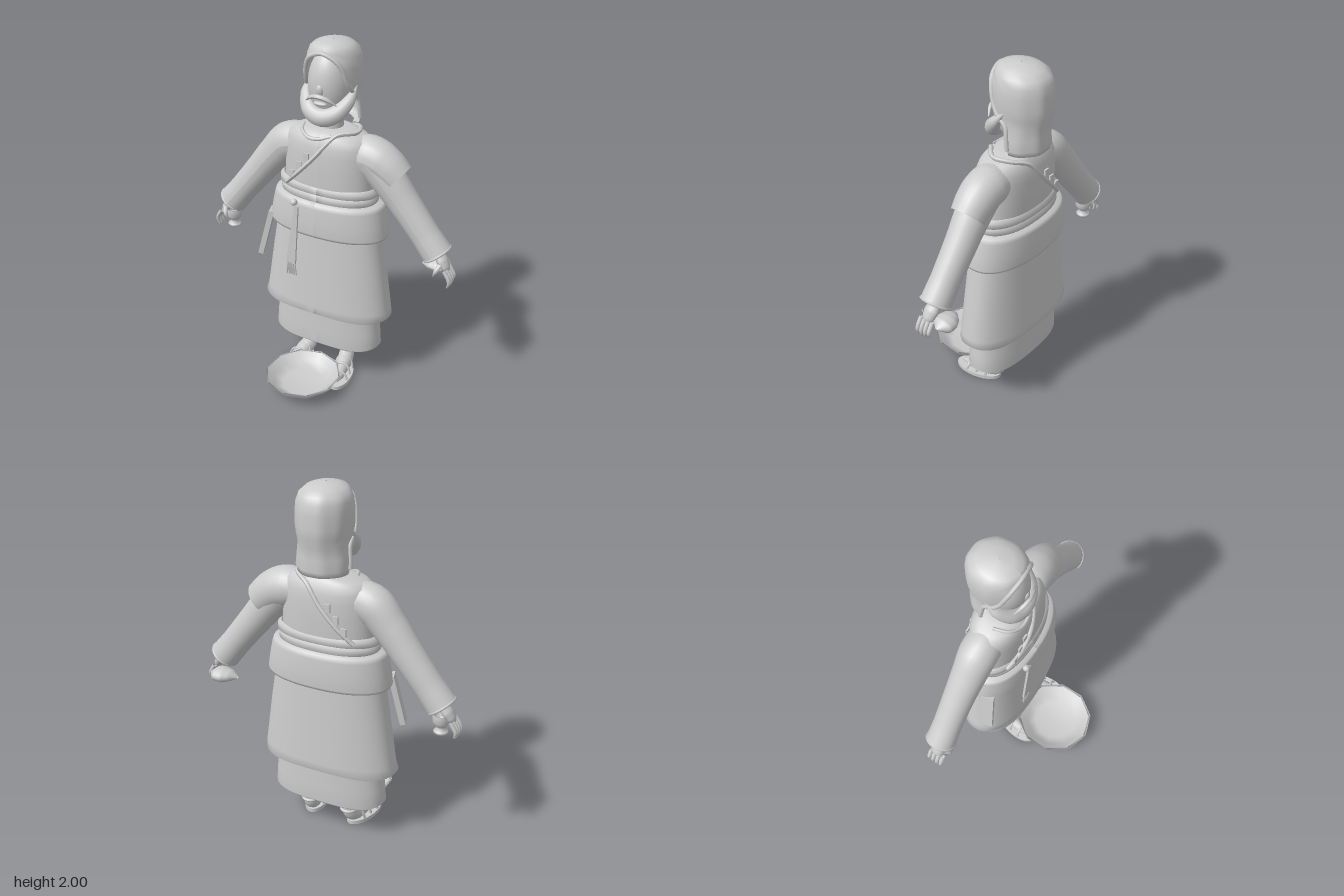
import * as THREE from 'three';

const V = (x, y, z) => new THREE.Vector3(x, y, z);
const gray = new THREE.MeshStandardMaterial({ color: 0xcccccc, side: THREE.DoubleSide });
gray.name = 'plain grey';

function add(parent, name, geometry, pos = [0, 0, 0], rot = [0, 0, 0], scale = [1, 1, 1]) {
  const mesh = new THREE.Mesh(geometry, gray);
  mesh.name = name;
  mesh.position.set(...pos);
  mesh.rotation.set(...rot);
  mesh.scale.set(...scale);
  parent.add(mesh);
  return mesh;
}

// Tube along points whose radius follows a list; depth scales the section in z.
function sweep(points, radii, depth = 1, seg = 20, sides = 14) {
  const curve = new THREE.CatmullRomCurve3(points.map(p => V(...p)));
  const g = new THREE.TubeGeometry(curve, seg, 1, sides);
  const p = g.attributes.position;
  for (let i = 0; i <= seg; i++) {
    const c = curve.getPointAt(i / seg);
    const f = (i / seg) * (radii.length - 1), k = Math.min(Math.floor(f), radii.length - 2);
    const r = THREE.MathUtils.lerp(radii[k], radii[k + 1], f - k);
    for (let j = 0; j <= sides; j++) {
      const n = i * (sides + 1) + j;
      const d = V(p.getX(n), p.getY(n), p.getZ(n)).sub(c).multiplyScalar(r);
      p.setXYZ(n, c.x + d.x, c.y + d.y, c.z + d.z * depth);
    }
  }
  g.computeVertexNormals();
  return g;
}

// Grid surface from a point rule.
function grid(rows, cols, rule) {
  const pos = [], idx = [];
  for (let i = 0; i <= rows; i++) for (let j = 0; j <= cols; j++) pos.push(...rule(i, j / cols));
  for (let i = 0; i < rows; i++) for (let j = 0; j < cols; j++) {
    const a = i * (cols + 1) + j, b = a + cols + 1;
    idx.push(a, a + 1, b, a + 1, b + 1, b);
  }
  const g = new THREE.BufferGeometry();
  g.setAttribute('position', new THREE.Float32BufferAttribute(pos, 3));
  g.setIndex(idx);
  g.computeVertexNormals();
  return g;
}

// Oval garment from bottom to top; rows are [y, halfWidth, halfDepth, centreX, centreZ].
function garment(rows, hemWave = 0) {
  return grid(rows.length - 1, 48, (i, u) => {
    const [y, rx, rz, cx = 0, cz = -0.175] = rows[i], t = u * Math.PI * 2;
    const pw = v => Math.sign(v) * Math.abs(v) ** 0.88;
    const dy = i < 2 ? hemWave * Math.cos(t * 4) : 0;
    return [cx + rx * pw(Math.sin(t)), y + dy, cz + rz * pw(Math.cos(t))];
  });
}

function buildHead(root) {
  const head = new THREE.Group();
  head.name = 'head';
  root.add(head);
  add(head, 'neck', new THREE.CylinderGeometry(0.06, 0.068, 0.2, 20), [0, 1.58, -0.19]);
  add(head, 'face', new THREE.SphereGeometry(1, 28, 20), [0, 1.765, -0.175], [0.06, 0, 0], [0.118, 0.2, 0.125]);
  add(head, 'nose', new THREE.SphereGeometry(1, 12, 10), [0, 1.76, -0.058], [0.2, 0, 0], [0.022, 0.035, 0.018]);

  // Hair rows: [y, halfWidth, halfDepth, centreZ, opening half angle]
  const hair = [
    [2.0, 0.004, 0.004, -0.2, 0], [1.995, 0.06, 0.07, -0.2, 0], [1.98, 0.1, 0.115, -0.2, 0],
    [1.955, 0.127, 0.14, -0.21, 0.12], [1.92, 0.14, 0.155, -0.212, 0.6], [1.87, 0.146, 0.162, -0.212, 0.82],
    [1.8, 0.146, 0.165, -0.212, 1.02], [1.75, 0.14, 0.163, -0.212, 1.25], [1.7, 0.136, 0.153, -0.208, 1.6],
    [1.64, 0.145, 0.15, -0.208, 1.68], [1.58, 0.15, 0.154, -0.21, 1.72], [1.55, 0.142, 0.146, -0.21, 1.75], [1.545, 0.1, 0.11, -0.22, 1.75]];
  const hairPoint = (i, u) => {
    const [y, rx, rz, cz, a] = hair[i], t = a + u * (Math.PI * 2 - 2 * a);
    const wave = 1 + (i > 2 ? 0.012 * Math.cos(t * 9) : 0);
    return [-rx * wave * Math.sin(t), y, cz + rz * wave * Math.cos(t)];
  };
  add(head, 'hair', grid(hair.length - 1, 48, hairPoint));
  const rim = [];
  for (let i = 10; i >= 3; i--) rim.push(hairPoint(i, 0));
  for (let i = 3; i <= 10; i++) rim.push(hairPoint(i, 1));
  add(head, 'hairEdge', sweep(rim, [0.012, 0.012], 1, 50, 8));

  add(head, 'beard', sweep([[-0.138, 1.775, -0.205], [-0.125, 1.7, -0.14], [-0.07, 1.632, -0.085], [0, 1.61, -0.07],
    [0.07, 1.632, -0.085], [0.125, 1.7, -0.14], [0.138, 1.775, -0.205]], [0.004, 0.032, 0.046, 0.05, 0.046, 0.032, 0.004], 0.9, 36));
  add(head, 'moustache', sweep([[-0.09, 1.69, -0.07], [-0.05, 1.722, -0.048], [0, 1.735, -0.038],
    [0.05, 1.722, -0.048], [0.09, 1.69, -0.07]], [0.003, 0.011, 0.013, 0.011, 0.003], 1, 24, 8));
  add(head, 'lowerLip', new THREE.SphereGeometry(1, 14, 8), [0, 1.69, -0.06], [0, 0, 0], [0.04, 0.012, 0.018]);
}

function buildRobe(root) {
  add(root, 'underSkirt', garment([[0.195, 0.32, 0.145], [0.205, 0.332, 0.153], [0.3, 0.325, 0.15], [0.5, 0.3, 0.145]], 0.005));
  add(root, 'skirt', garment([[0.41, 0.37, 0.165, -0.005], [0.42, 0.395, 0.182, -0.005], [0.47, 0.385, 0.18],
    [0.75, 0.345, 0.165], [1.0, 0.305, 0.152]], 0.006));
  add(root, 'waistFold', garment([[0.945, 0.3, 0.155], [0.93, 0.35, 0.185], [0.945, 0.355, 0.19], [1.02, 0.342, 0.189],
    [1.1, 0.325, 0.183], [1.125, 0.315, 0.178], [1.132, 0.26, 0.14]]));
  for (const [name, y, w] of [['lowerSash', 1.15, 0.285], ['upperSash', 1.195, 0.293]])
    add(root, name, garment([[y - 0.026, w - 0.02, 0.14], [y - 0.018, w, 0.156], [y + 0.014, w, 0.156], [y + 0.026, w - 0.02, 0.14]]));
  add(root, 'torso', garment([[1.1, 0.26, 0.143], [1.22, 0.262, 0.147], [1.32, 0.258, 0.15], [1.4, 0.255, 0.147],
    [1.45, 0.25, 0.142], [1.485, 0.235, 0.13], [1.505, 0.2, 0.118], [1.52, 0.14, 0.1, 0, -0.185],
    [1.528, 0.1, 0.08, 0, -0.19], [1.528, 0.03, 0.03, 0, -0.19]]));

  // Collar and the diagonal robe edge, front and back
  add(root, 'collar', sweep([[-0.15, 1.515, -0.16], [-0.12, 1.507, -0.085], [-0.06, 1.49, -0.05], [0, 1.495, -0.05], [0.06, 1.515, -0.07]], [0.01, 0.01], 1, 24, 8));
  add(root, 'robeEdge', sweep([[-0.2, 1.2, -0.05], [-0.12, 1.28, -0.025], [-0.02, 1.39, -0.022], [0.05, 1.48, -0.05],
    [0.09, 1.52, -0.085], [0.165, 1.523, -0.16], [0.14, 1.52, -0.25], [0.06, 1.49, -0.305], [-0.02, 1.39, -0.328],
    [-0.12, 1.28, -0.325], [-0.2, 1.2, -0.3]], [0.012, 0.012], 1, 70, 8));
  for (let i = 0; i < 3; i++) for (const z of [-0.026, -0.324])
    add(root, 'robeTrim', new THREE.BoxGeometry(0.03, 0.045, 0.009), [-0.065 - i * 0.045, 1.385 - i * 0.058, z]);

  // Hanging belt end with tassel, and side strip
  add(root, 'beltKnot', new THREE.SphereGeometry(0.02, 14, 10), [-0.12, 1.12, 0.015]);
  const strip = new THREE.Shape([[-0.11, 1.11], [-0.09, 1.1], [-0.11, 0.73], [-0.168, 0.74]].map(p => new THREE.Vector2(...p)));
  add(root, 'beltEnd', new THREE.ExtrudeGeometry(strip, { depth: 0.012, bevelEnabled: false }), [0, 0, 0.014]);
  for (let i = 0; i < 5; i++)
    add(root, 'tassel', new THREE.CylinderGeometry(0.005, 0.006, 0.08, 6), [-0.163 + i * 0.0125, 0.7, 0.02], [0, 0, (i - 2) * 0.05]);
  add(root, 'sideStrip', new THREE.BoxGeometry(0.03, 0.29, 0.07), [-0.36, 0.83, -0.09], [0, 0.3, -0.24]);
}

function buildArm(root, s) {
  const side = s > 0 ? 'left' : 'right';
  add(root, side + 'Sleeve', sweep([[s * 0.14, 1.405, -0.18], [s * 0.25, 1.385, -0.18], [s * 0.345, 1.29, -0.182],
    [s * 0.455, 1.155, -0.187], [s * 0.65, 0.91, -0.19]], [0.105, 0.108, 0.098, 0.09, 0.085, 0.082, 0.086], 0.95, 30, 24));
  add(root, side + 'CuffEdge', new THREE.TorusGeometry(0.08, 0.007, 8, 24), [s * 0.65, 0.912, -0.19], [Math.PI / 2, s * 0.66, 0]);
  const hand = new THREE.Group();
  hand.name = side + 'Hand';
  root.add(hand);
  add(hand, 'palm', sweep([[s * 0.63, 0.95, -0.19], [s * 0.665, 0.9, -0.19], [s * 0.7, 0.85, -0.185], [s * 0.72, 0.805, -0.185]],
    [0.026, 0.024, 0.03, 0.024, 0.003], 1.4));
  for (let i = 0; i < 4; i++) {
    const z = -0.145 - i * 0.025, d = i === 3 ? 0.02 : Math.abs(i - 1) * 0.006;
    add(hand, 'finger', sweep([[s * 0.71, 0.84, z], [s * 0.738, 0.795, z], [s * 0.741, 0.765 + d, z], [s * 0.73, 0.735 + d, z]],
      [0.012, 0.012, 0.011, 0.002], 1, 10, 8));
  }
  add(hand, 'thumb', sweep([[s * 0.685, 0.87, -0.15], [s * 0.668, 0.835, -0.125], [s * 0.655, 0.8, -0.13]], [0.014, 0.013, 0.002], 1, 10, 8));
}

function buildLeg(root, s) {
  const side = s > 0 ? 'left' : 'right';
  add(root, side + 'Leg', new THREE.CylinderGeometry(0.052, 0.04, 0.36, 18), [s * 0.122, 0.28, -0.19]);
  add(root, side + 'Anklet', new THREE.TorusGeometry(0.043, 0.009, 8, 22), [s * 0.122, 0.115, -0.19], [Math.PI / 2, 0, 0]);
  const foot = new THREE.Group();
  foot.name = side + 'Foot';
  foot.position.set(s * 0.122, 0, -0.19);
  foot.rotation.y = s * 0.2;
  root.add(foot);
  add(foot, 'foot', sweep([[0, 0.13, 0], [0, 0.075, 0.025], [0, 0.05, 0.1], [0, 0.038, 0.19], [0, 0.032, 0.25]],
    [0.038, 0.046, 0.046, 0.036, 0.03, 0.004]));
  add(foot, 'heel', new THREE.SphereGeometry(0.038, 14, 10), [0, 0.052, 0.045]);
  add(foot, 'sole', new THREE.CylinderGeometry(1, 1, 0.022, 28), [0, 0.012, 0.145], [0, 0, 0], [0.068, 1, 0.14]);
  for (const [z, h] of [[0.08, 0.08], [0.14, 0.065], [0.2, 0.05]])
    add(foot, 'sandalStrap', new THREE.TorusGeometry(1, 0.12, 8, 18, Math.PI), [0, 0.02, z], [-0.2, 0, 0], [0.052, h, 0.07]);
}

export function createModel() {
  const root = new THREE.Group();
  root.name = 'robedFigure';
  buildHead(root);
  buildRobe(root);
  for (const s of [-1, 1]) { buildArm(root, s); buildLeg(root, s); }

  // Short outer sleeve on the left shoulder
  add(root, 'outerSleeve', sweep([[0.16, 1.405, -0.185], [0.26, 1.395, -0.185], [0.33, 1.36, -0.187], [0.4, 1.3, -0.19]],
    [0.1, 0.112, 0.11, 0.103, 0.094], 0.98, 24, 24));

  // Small goblet in the right hand
  const cup = [[0, 0.75], [0.042, 0.75], [0.036, 0.76], [0.018, 0.775], [0.03, 0.79], [0.046, 0.815], [0.046, 0.855], [0.04, 0.855], [0.036, 0.81], [0, 0.8]];
  add(root, 'goblet', new THREE.LatheGeometry(cup.map(p => new THREE.Vector2(...p)), 20), [-0.645, 0, -0.18]);

  // Shell in the left hand
  add(root, 'shell', sweep([[0.55, 0.805, -0.235], [0.59, 0.81, -0.24], [0.65, 0.812, -0.25], [0.715, 0.812, -0.25]],
    [0.006, 0.03, 0.04, 0.038, 0.004], 1.6));

  // Ten-sided bowl in front of the feet
  const bowl = [[0, 0.008], [0.125, 0.008], [0.18, 0.045], [0.22, 0.093], [0.205, 0.093], [0.168, 0.052], [0.12, 0.024], [0, 0.024]];
  add(root, 'bowl', new THREE.LatheGeometry(bowl.map(p => new THREE.Vector2(...p)), 10), [0, 0, 0.137], [0, 0, 0], [1, 1, 1.04]);
  return root;
}
